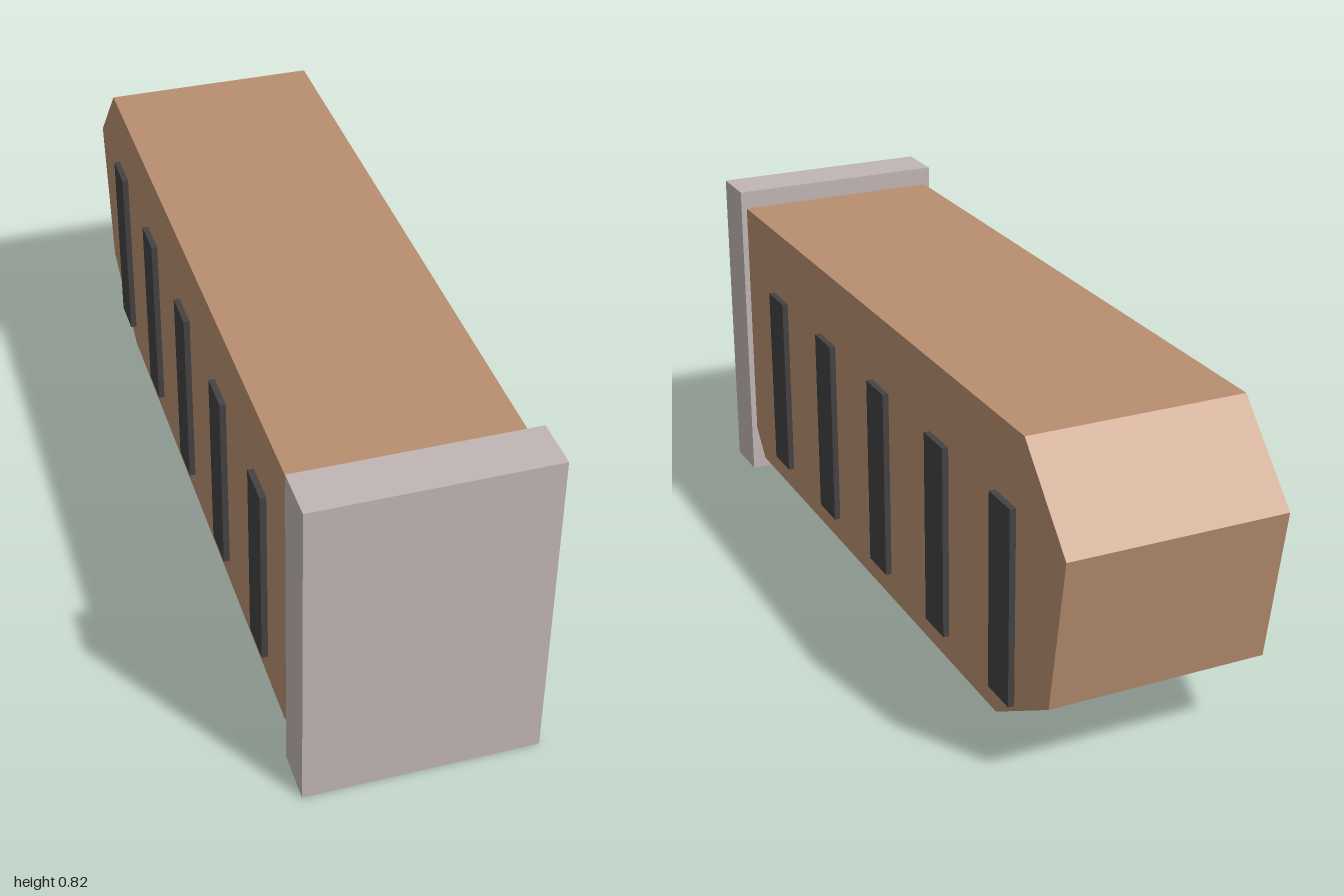
import * as THREE from 'three';

const flat = (name, color) => {
  const m = new THREE.MeshStandardMaterial({ color });
  m.name = name;
  return m;
};

export function createModel() {
  const group = new THREE.Group();
  const brown = flat('tan brown', 0xb98f70);
  const grey = flat('warm grey', 0xc0b5b4);
  const dark = flat('charcoal', 0x444242);

  // Body: side profile as [z, y], extruded across the width
  const halfWidth = 0.265;
  const profile = [
    [0.99, 0.26], [0.815, 0.055], [-0.685, 0.055], [-0.935, 0.2],
    [-1, 0.578], [-0.81, 0.778], [0.99, 0.778],
  ];
  const shape = new THREE.Shape(profile.map(([z, y]) => new THREE.Vector2(-z, y)));
  const bodyGeo = new THREE.ExtrudeGeometry(shape, { depth: halfWidth * 2, bevelEnabled: false });
  bodyGeo.translate(0, 0, -halfWidth);
  bodyGeo.rotateY(Math.PI / 2); // profile axis -z, extrusion along x
  const body = new THREE.Mesh(bodyGeo, brown);
  body.name = 'body';
  group.add(body);

  // Front plate, slightly larger than the body
  const plate = new THREE.Mesh(new THREE.BoxGeometry(0.56, 0.825, 0.125), grey);
  plate.name = 'frontPlate';
  plate.position.set(0, 0.4125, 0.9375);
  group.add(plate);

  // Five raised slats on each side
  const slatGeo = new THREE.BoxGeometry(0.03, 0.48, 0.1);
  for (const side of [-1, 1]) {
    for (let i = 0; i < 5; i++) {
      const slat = new THREE.Mesh(slatGeo, dark);
      slat.name = (side > 0 ? 'left' : 'right') + 'Slat' + (i + 1);
      slat.position.set(side * 0.265, 0.36, 0.627 - i * 0.338);
      group.add(slat);
    }
  }
  return group;
}
